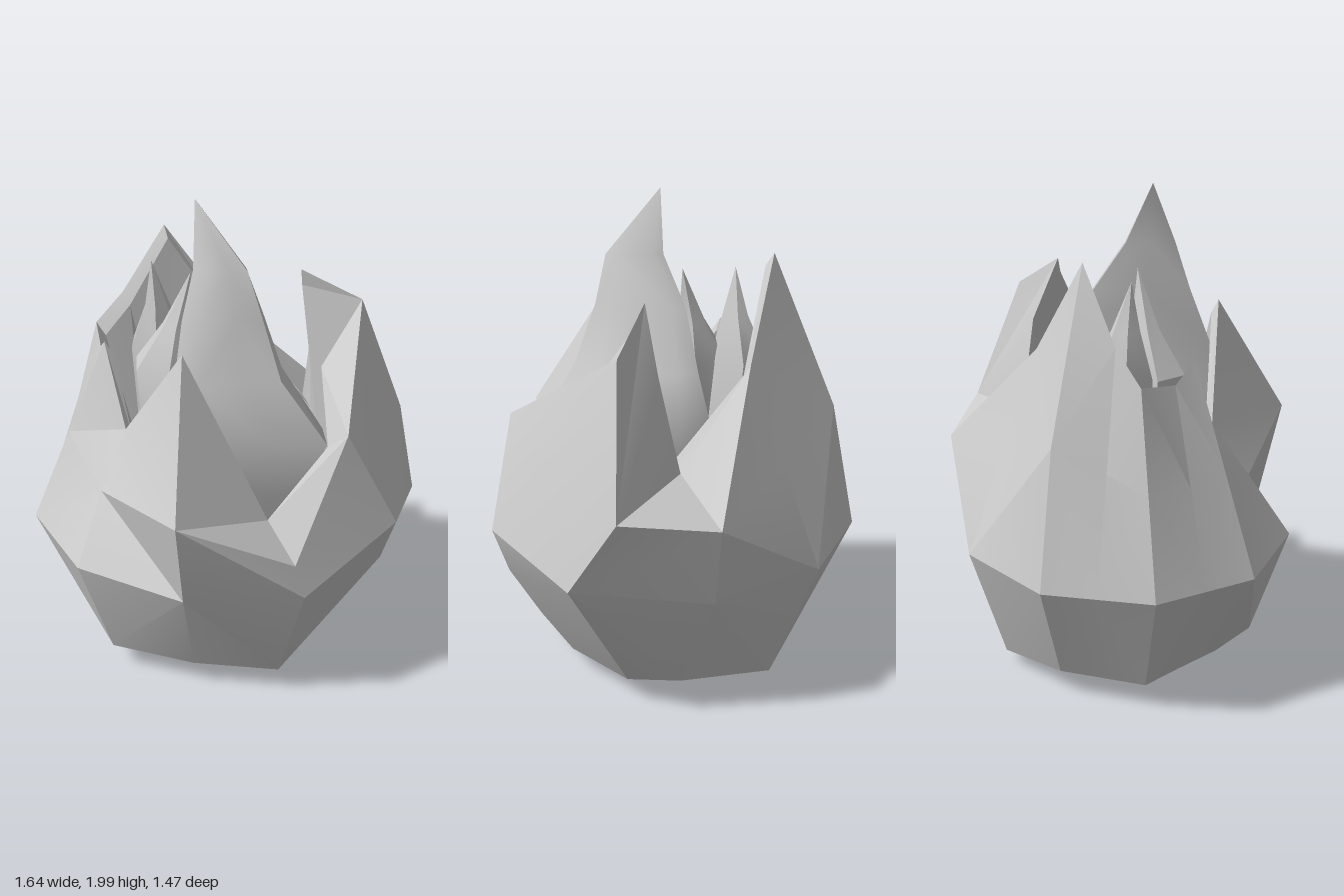
import * as THREE from 'three';
import { toCreasedNormals } from 'three/addons/utils/BufferGeometryUtils.js';

const lerp = (a, b, t) => a.map((v, i) => v + (b[i] - v) * t);
const centre = (pts) => pts.reduce((s, p) => s.map((v, i) => v + p[i] / pts.length), [0, 0, 0]);

// Skins a stack of closed rings with equal point counts; each quad is split so that it bulges outward.
function loft(rings, crease) {
  const n = rings[0].length, pos = [];
  const tri = (a, b, c) => {
    const [A, B, C] = [a, b, c].map((p) => new THREE.Vector3(...p));
    if (B.sub(A).cross(C.sub(A)).length() > 1e-7) pos.push(...a, ...b, ...c);
  };
  for (let r = 0; r < rings.length - 1; r++) {
    const [cx, , cz] = centre([...rings[r], ...rings[r + 1]]);
    const reach = (p, q) => Math.hypot((p[0] + q[0]) / 2 - cx, (p[2] + q[2]) / 2 - cz);
    for (let i = 0; i < n; i++) {
      const j = (i + 1) % n;
      const a = rings[r][i], b = rings[r][j], c = rings[r + 1][j], d = rings[r + 1][i];
      if (reach(a, c) > reach(b, d)) {
        tri(a, b, c);
        tri(a, c, d);
      } else {
        tri(a, b, d);
        tri(b, c, d);
      }
    }
  }
  const geo = new THREE.BufferGeometry();
  geo.setAttribute('position', new THREE.Float32BufferAttribute(pos, 3));
  return toCreasedNormals(geo, crease);
}

function addMesh(group, name, geo) {
  const mat = new THREE.MeshStandardMaterial({ color: 0xcccccc, side: THREE.DoubleSide });
  const mesh = new THREE.Mesh(geo, mat);
  mesh.name = name;
  group.add(mesh);
}

// Shell columns: base, belly, rim, and where they differ from the rule, shoulder and inner lip.
const left = { base: [0.22, 0.12, 0.43], belly: [0.21, 0.58, 0.63] };
const frontMiddle = { ...left, base: [0.14, 0.12, 0.43] };
const backLeft = { base: [0.41, 0.12, -0.35], belly: [0.73, 0.68, -0.47], shoulder: [0.6, 0.98, -0.61] };
const frontSlit = { rim: [-0.24, 1.07, 0.3], shoulder: [-0.27, 0.85, 0.45] };
const frontColumns = [
  { base: [-0.61, 0.12, -0.03], belly: [-0.82, 0.58, -0.03], rim: [-0.6, 1.34, -0.05] },
  { base: [-0.5, 0.12, 0.13], belly: [-0.745, 0.58, 0.175], rim: [-0.48, 1.31, 0.1] },
  { base: [-0.39, 0.12, 0.3], belly: [-0.67, 0.58, 0.38], rim: [-0.4, 1.38, 0.19] },
  { base: [-0.22, 0.12, 0.49], belly: [-0.28, 0.58, 0.63], ...frontSlit },
  { ...frontMiddle, ...frontSlit },
  { ...frontMiddle, rim: [0.08, 1.5, 0.39], shoulder: [0.24, 0.97, 0.73] },
  { base: [0.47, 0.12, 0.3], belly: [0.61, 0.58, 0.38], rim: [0.42, 0.85, 0.33], shoulder: [0.57, 0.72, 0.39] },
];
const backColumns = [
  { base: [0.49, 0.12, -0.03], belly: [0.76, 0.58, -0.03], rim: [0.65, 1.18, 0.12], shoulder: [0.82, 0.77, -0.02], lip: [0.56, 1.1, 0.1] },
  { ...backLeft, rim: [0.47, 1.52, -0.41], lip: [0.42, 1.32, -0.13] },
  { ...backLeft, rim: [0.26, 1.66, -0.26], lip: [0.27, 1.6, -0.25] },
  { ...backLeft, rim: [0.27, 1.4, -0.37], lip: [0.29, 1.38, -0.31] },
  { base: [0.25, 0.14, -0.5], belly: [0.22, 0.58, -0.69], rim: [0.21, 1.02, -0.43], shoulder: [0.23, 0.91, -0.74], lip: [0.27, 1.0, -0.38] },
  { base: [-0.16, 0.07, -0.55], belly: [-0.28, 0.58, -0.69], rim: [-0.14, 1.38, -0.39] },
  { base: [-0.45, 0.12, -0.35], belly: [-0.67, 0.58, -0.44], rim: [-0.36, 1.76, -0.23], shoulder: [-0.58, 1.12, -0.38] },
  { base: [-0.53, 0.12, -0.19], belly: [-0.745, 0.58, -0.235], rim: [-0.51, 1.47, -0.13] },
];

// Cross-sections of the flames, as x, z pairs within -1..1
const leafSection = [[-1, 0], [-0.93, 1], [-0.4, 0.95], [0.4, 0.58], [1, 0.25], [0.75, -0.1], [-0.45, -0.94], [-0.9, -1]];
const roundSection = Array.from({ length: 6 }, (_, i) => [Math.cos(i * Math.PI / 3), -Math.sin(i * Math.PI / 3)]);

// Spindle flame from levels [y, centreX, centreZ, radiusX, radiusZ]
const flame = (section, levels) => levels.map(([y, cx, cz, rx, rz]) =>
  section.map(([x, z]) => [cx + rx * x, y, cz + rz * z]));

export function createModel() {
  const group = new THREE.Group();
  group.name = 'flame';

  // Outer shell with jagged petals, folded over the rim into a bowl-shaped inner wall
  const columns = [...frontColumns, ...backColumns];
  const inset = ([x, y, z], s, dy) => [x * s, y + dy, z * s];
  const collapse = (y) => columns.map(() => [0, y, 0]);
  addMesh(group, 'outerPetals', loft([
    collapse(0.12),
    columns.map((c) => c.base),
    columns.map((c) => c.belly),
    columns.map((c) => c.shoulder ?? lerp(c.belly, c.rim, 0.5)),
    columns.map((c) => c.rim),
    columns.map((c) => c.lip ?? inset(c.rim, 0.92, -0.05)),
    columns.map((c) => inset(c.belly, 0.55, 0)),
    collapse(0.4),
  ], 0.3));

  // Tall central flame
  addMesh(group, 'mainFlame', loft(flame(leafSection, [
    [0.01, -0.07, 0.04, 0, 0],
    [0.5, 0.1, 0.03, 0.19, 0.19],
    [0.85, 0.21, 0.01, 0.25, 0.28],
    [1.1, 0.26, 0.0, 0.29, 0.34],
    [1.34, 0.18, 0.04, 0.18, 0.3],
    [1.57, 0.13, 0.05, 0.14, 0.2],
    [1.76, 0.11, 0.09, 0.1, 0.1],
    [2.0, -0.03, 0.09, 0, 0],
  ]), 0.9));

  // Two small side flames
  addMesh(group, 'innerSmallFlame', loft(flame(roundSection, [
    [0.3, -0.1, 0.05, 0, 0],
    [0.9, -0.16, 0.06, 0.14, 0.14],
    [1.28, -0.18, 0.06, 0.15, 0.14],
    [1.45, -0.15, 0.04, 0.06, 0.06],
    [1.68, -0.09, 0.02, 0, 0],
  ]), 0.6));
  addMesh(group, 'outerSmallFlame', loft(flame(roundSection, [
    [0.08, -0.13, -0.1, 0, 0],
    [0.5, -0.22, -0.09, 0.1, 0.1],
    [0.95, -0.28, -0.08, 0.13, 0.13],
    [1.3, -0.31, -0.08, 0.12, 0.13],
    [1.48, -0.3, -0.06, 0.05, 0.06],
    [1.67, -0.31, -0.04, 0, 0],
  ]), 0.6));

  return group;
}
